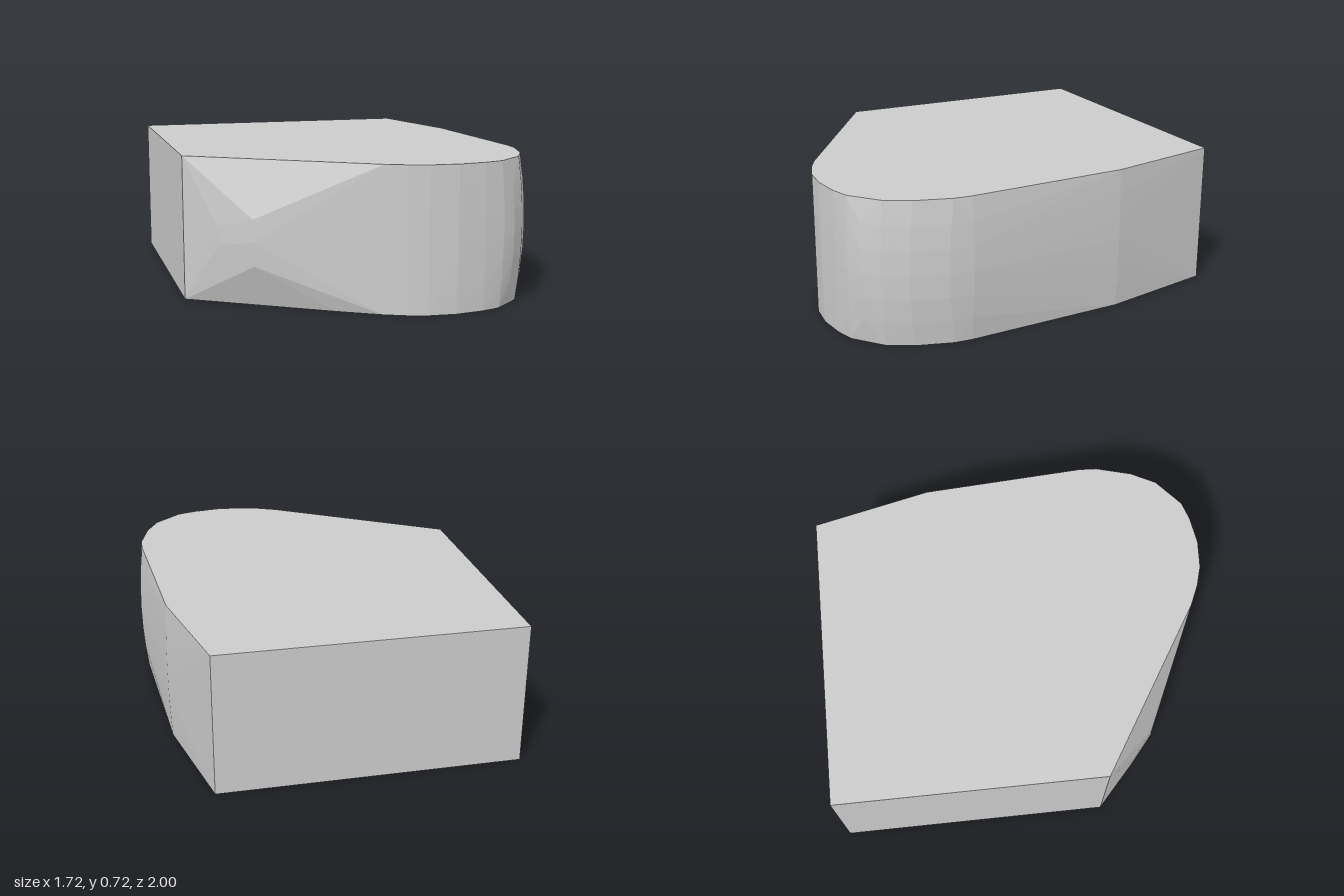
import * as THREE from 'three';
import { ConvexGeometry } from 'three/addons/geometries/ConvexGeometry.js';

const HEIGHT = 0.72;

// Plan of the flat top and bottom, as [x, z]
const RIM = [
  [-0.86, 0.37], [-0.86, -1], [0.65, -1], [0.785, -0.4], [0.835, 0.43], [0.83, 0.52],
  [0.78, 0.7], [0.715, 0.825], [0.575, 0.945], [0.48, 0.975], [0.34, 0.995],
  [0.2, 0.985], [0.1, 0.955], [0, 0.91],
];

// Fullest plan of the bulging wall at mid height, with the matching rim plan
const BULGE = [
  [0.785, -0.4, 0.795, -0.4], [0.835, 0.43, 0.86, 0.43], [0.83, 0.52, 0.85, 0.55],
  [0.78, 0.7, 0.8, 0.73], [0.715, 0.825, 0.735, 0.845], [0.64, 0.89, 0.66, 0.92],
  [0.575, 0.945, 0.59, 0.957], [0.48, 0.975, 0.485, 0.982], [0.34, 0.995, 0.34, 1],
];

// Blunt corner standing out between the two flat faces, as [x, y, z]
const CORNER = [
  [-0.57, 0.44, 0.65], [-0.57, 0.33, 0.655], [-0.565, 0.21, 0.65],
  [-0.72, 0.39, 0.525], [-0.71, 0.3, 0.535], [-0.52, 0.27, 0.675],
];

export function createModel() {
  const points = CORNER.map((p) => new THREE.Vector3(...p));

  // Flat top and bottom
  for (const y of [0, HEIGHT]) {
    for (const [x, z] of RIM) points.push(new THREE.Vector3(x, y, z));
  }
  points.push(new THREE.Vector3(-0.2, 0, 0.792));

  // Curved wall, swelling as a parabola towards mid height
  for (let i = 1; i < 6; i++) {
    const t = i / 6;
    const swell = 4 * t * (1 - t);
    for (const [x0, z0, x1, z1] of BULGE) {
      points.push(new THREE.Vector3(
        THREE.MathUtils.lerp(x0, x1, swell), t * HEIGHT, THREE.MathUtils.lerp(z0, z1, swell)));
    }
  }

  const block = new THREE.Mesh(
    new ConvexGeometry(points),
    new THREE.MeshStandardMaterial({ color: 0xcccccc, flatShading: true }));
  block.name = 'roundedBlock';

  const model = new THREE.Group();
  model.name = 'block';
  model.add(block);
  return model;
}
